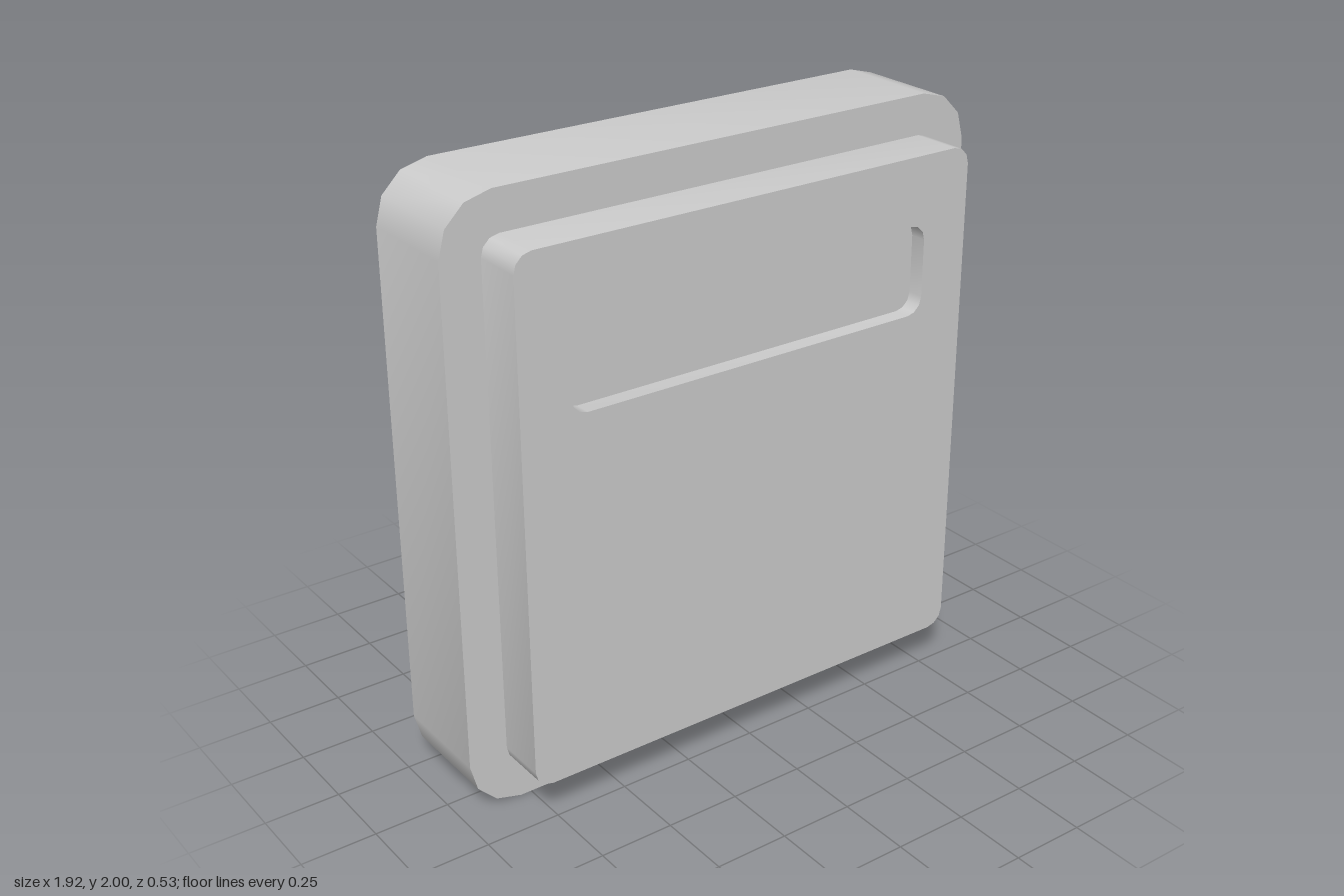
import * as THREE from 'three';
import { toCreasedNormals } from 'three/addons/utils/BufferGeometryUtils.js';

const CORNER_STEPS = 3;

// Counter-clockwise rounded rectangle, each corner an arc of a few straight steps
function roundedRect(halfWidth, bottom, top, radius) {
  const centres = [
    [halfWidth - radius, top - radius],
    [-halfWidth + radius, top - radius],
    [-halfWidth + radius, bottom + radius],
    [halfWidth - radius, bottom + radius],
  ];
  const points = [];
  centres.forEach(([cx, cy], corner) => {
    for (let i = 0; i <= CORNER_STEPS; i++) {
      const a = (corner + i / CORNER_STEPS) * Math.PI / 2;
      points.push(new THREE.Vector2(cx + radius * Math.cos(a), cy + radius * Math.sin(a)));
    }
  });
  return points;
}

export function createModel() {
  const group = new THREE.Group();
  const material = new THREE.MeshStandardMaterial({ color: 0xcccccc });

  // Slab between two depths, with smooth corners and sharp rims
  function addSlab(name, outline, back, front, hole) {
    const shape = new THREE.Shape(outline);
    if (hole) shape.holes.push(new THREE.Path(hole));
    const geometry = new THREE.ExtrudeGeometry(shape, { depth: front - back, bevelEnabled: false });
    geometry.translate(0, 0, back);
    const mesh = new THREE.Mesh(toCreasedNormals(geometry, 0.7), material);
    mesh.name = name;
    group.add(mesh);
  }

  const recess = roundedRect(0.66, 1.345, 1.645, 0.055);

  // Thick back housing
  addSlab('backHousing', roundedRect(0.962, 0, 2, 0.175), -0.263, 0.093);
  // Raised front panel with a window cut through it
  addSlab('frontPanel', roundedRect(0.83, 0.137, 1.868, 0.06), 0.093, 0.263, recess);
  // Floor of the shallow window recess
  addSlab('recessFloor', recess, 0.093, 0.208);

  return group;
}
